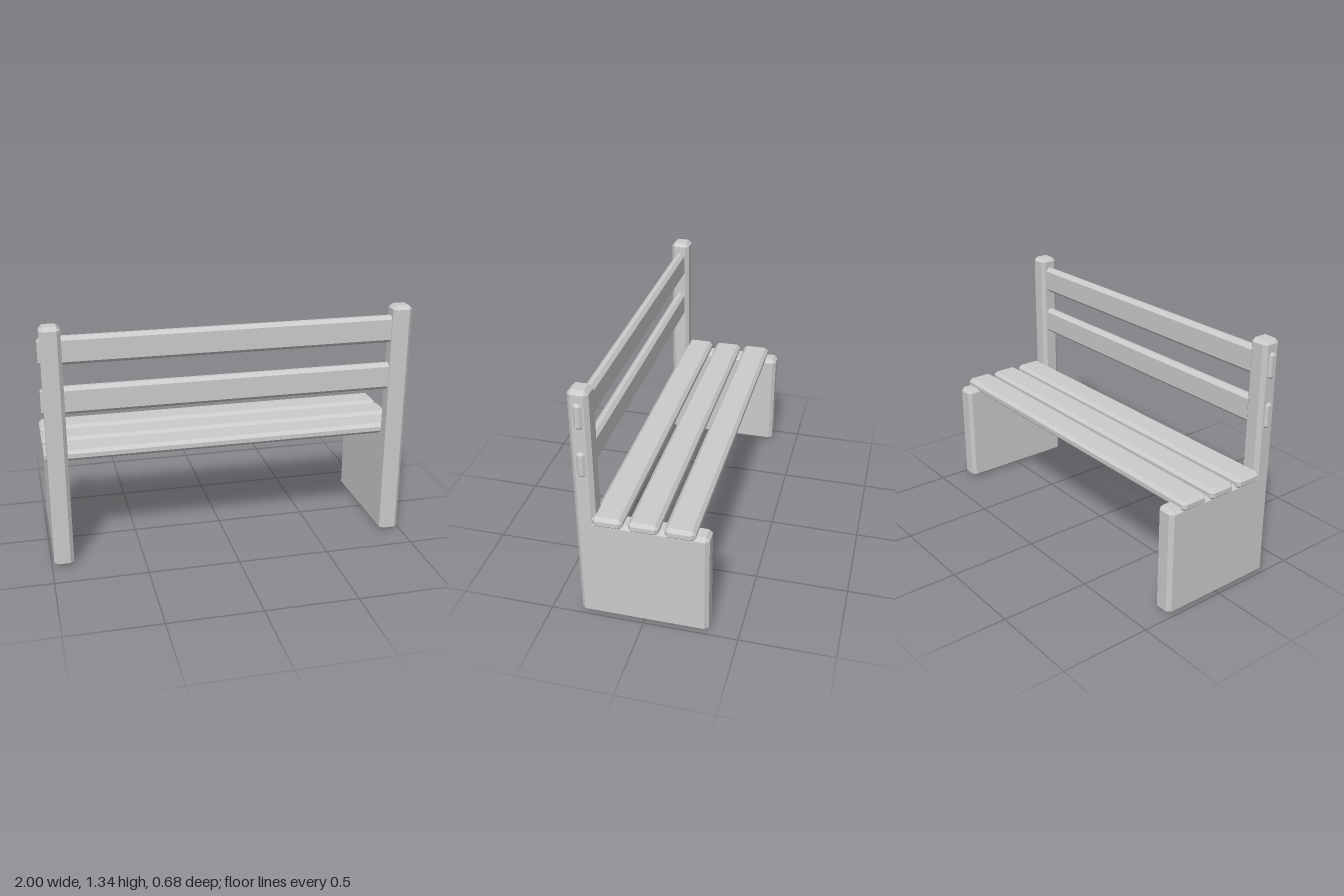
import * as THREE from 'three';

const material = new THREE.MeshStandardMaterial({ color: 0xcccccc, flatShading: true });

// Prism along x with every edge chamfered by c.
// corners: counter-clockwise profile of [u, y], where u = -z.
function chamferedPrism(corners, x0, x1, c) {
  const pts = corners.map(([u, y]) => new THREE.Vector2(u, y));
  const n = pts.length;
  const outer = [], inset = [], cap = [];
  pts.forEach((p, i) => {
    const dIn = p.clone().sub(pts[(i + n - 1) % n]).normalize();
    const dOut = pts[(i + 1) % n].clone().sub(p).normalize();
    const convex = dIn.cross(dOut) > 0;
    const q = new THREE.Vector2(p.x - c * (dIn.y + dOut.y), p.y + c * (dIn.x + dOut.x));
    outer.push(convex ? p.clone().addScaledVector(dIn, -c) : p);
    outer.push(convex ? p.clone().addScaledVector(dOut, c) : p);
    inset.push(q, q);
    cap.push(q);
  });

  const position = [];
  const to3 = (p, x) => new THREE.Vector3(x, p.y, -p.x);
  const tri = (a, b, d) => {
    const area = b.clone().sub(a).cross(d.clone().sub(a)).length();
    if (area > 1e-8) for (const v of [a, b, d]) position.push(v.x, v.y, v.z);
  };

  // Skin between the four cross-sections
  const rings = [[inset, x0], [outer, x0 + c], [outer, x1 - c], [inset, x1]]
    .map(([ring, x]) => ring.map(p => to3(p, x)));
  for (let k = 0; k < 3; k++) {
    for (let i = 0; i < 2 * n; i++) {
      const j = (i + 1) % (2 * n);
      tri(rings[k][i], rings[k][j], rings[k + 1][j]);
      tri(rings[k][i], rings[k + 1][j], rings[k + 1][i]);
    }
  }
  // End caps
  for (const [a, b, d] of THREE.ShapeUtils.triangulateShape(cap, [])) {
    tri(to3(cap[a], x1), to3(cap[b], x1), to3(cap[d], x1));
    tri(to3(cap[d], x0), to3(cap[b], x0), to3(cap[a], x0));
  }

  const geometry = new THREE.BufferGeometry();
  geometry.setAttribute('position', new THREE.Float32BufferAttribute(position, 3));
  geometry.computeVertexNormals();
  return geometry;
}

function addPart(group, name, geometry) {
  const mesh = new THREE.Mesh(geometry, material);
  mesh.name = name;
  group.add(mesh);
}

// Full-length board centred at (y, z)
function slat(y, z, height, depth) {
  const h = height / 2, d = depth / 2;
  return chamferedPrism(
    [[-z - d, y - h], [-z + d, y - h], [-z + d, y + h], [-z - d, y + h]], -1, 1, 0.018);
}

export function createModel() {
  const bench = new THREE.Group();
  bench.name = 'bench';

  // L-shaped end panels: leg slab with the backrest post rising at +z
  const profile = [
    [-0.34, 0], [0.34, 0], [0.34, 0.6], [-0.235, 0.6], [-0.235, 1.335], [-0.34, 1.335],
  ];
  addPart(bench, 'leftEndPanel', chamferedPrism(profile, 0.88, 0.987, 0.02));
  addPart(bench, 'rightEndPanel', chamferedPrism(profile, -0.987, -0.88, 0.02));

  // Seat boards
  [0.175, -0.01, -0.195].forEach((z, i) =>
    addPart(bench, `seatSlat${i + 1}`, slat(0.606, z, 0.06, 0.157)));

  // Backrest boards
  [0.937, 1.203].forEach((y, i) =>
    addPart(bench, `backSlat${i + 1}`, slat(y, 0.287, 0.148, 0.056)));

  return bench;
}
